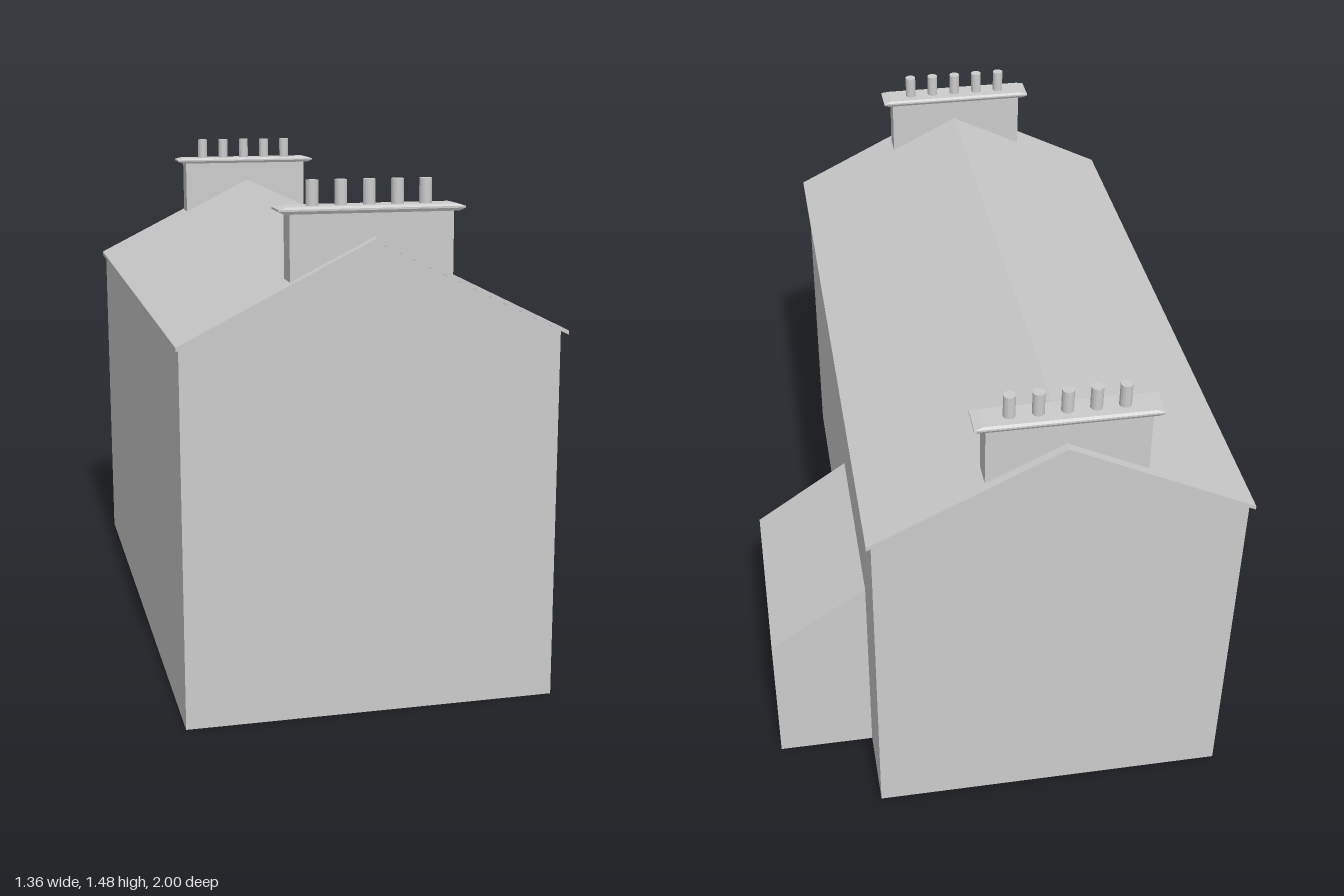
import * as THREE from 'three';

const material = new THREE.MeshStandardMaterial({ color: 0xcccccc, flatShading: true, side: THREE.DoubleSide });

function add(parent, name, geometry, x = 0, y = 0, z = 0) {
  const mesh = new THREE.Mesh(geometry, material);
  mesh.name = name;
  mesh.position.set(x, y, z);
  parent.add(mesh);
  return mesh;
}

// Flat panels, each a convex loop of [x, y, z] corners, counter-clockwise from outside
function panels(loops) {
  const positions = [];
  for (const loop of loops)
    for (let i = 1; i < loop.length - 1; i++) positions.push(...loop[0], ...loop[i], ...loop[i + 1]);
  const geometry = new THREE.BufferGeometry();
  geometry.setAttribute('position', new THREE.Float32BufferAttribute(positions, 3));
  geometry.computeVertexNormals();
  return geometry;
}

// Profile in x/y swept from z0 to z1; the edge from the last point to the first (the floor) stays open
function openShell(profile, z0, z1) {
  const at = (z) => profile.map(([x, y]) => [x, y, z]);
  const back = at(z0), front = at(z1);
  const loops = [front, [...back].reverse()];
  for (let i = 0; i < profile.length - 1; i++) loops.push([front[i], back[i], back[i + 1], front[i + 1]]);
  return panels(loops);
}

// Solid with rectangular sections, given as [y, half width, half depth]
function stackedSections(sections) {
  const rings = sections.map(([y, w, d]) => [[-w, y, d], [w, y, d], [w, y, -d], [-w, y, -d]]);
  const loops = [[...rings[0]].reverse(), rings[rings.length - 1]];
  for (let r = 0; r < rings.length - 1; r++)
    for (let i = 0; i < 4; i++) {
      const j = (i + 1) % 4;
      loops.push([rings[r][i], rings[r][j], rings[r + 1][j], rings[r + 1][i]]);
    }
  return panels(loops);
}

export function createModel() {
  const house = new THREE.Group();
  house.name = 'house';
  const ridgeX = -0.142;

  // Main walls with gable ends, open underneath
  add(house, 'mainWalls', openShell(
    [[0.385, 0], [0.385, 1.062], [ridgeX, 1.322], [-0.67, 1.062], [-0.67, 0]], -0.977, 0.977));

  // Thin pitched roof overhanging every wall
  const roof = new THREE.Shape([
    [0.4, 1.053], [0.4, 1.065], [ridgeX, 1.334], [-0.68, 1.065], [-0.68, 1.053], [ridgeX, 1.322],
  ].map(([x, y]) => new THREE.Vector2(x, y)));
  add(house, 'roof', new THREE.ExtrudeGeometry(roof, { depth: 2, bevelEnabled: false }), 0, 0, -1);

  // Lean-to on the side wall, open underneath
  add(house, 'leanTo', openShell(
    [[0.675, 0], [0.675, 0.453], [0.385, 0.658], [0.385, 0]], -0.732, -0.138));

  // A chimney at each gable: stack, bevelled cap and a row of pots
  for (const [name, z] of [['frontChimney', 0.932], ['backChimney', -0.936]]) {
    const chimney = new THREE.Group();
    chimney.name = name;
    chimney.position.set(-0.148, 0, z);
    add(chimney, 'stack', new THREE.BoxGeometry(0.447, 0.188, 0.076), 0, 1.304, 0);
    add(chimney, 'cap', stackedSections([
      [1.397, 0.238, 0.04], [1.405, 0.254, 0.045], [1.41, 0.254, 0.045], [1.416, 0.23, 0.039],
    ]));
    for (let i = -2; i <= 2; i++)
      add(chimney, 'pot', new THREE.CylinderGeometry(0.017, 0.017, 0.072, 16), i * 0.0775, 1.447, 0);
    house.add(chimney);
  }
  return house;
}
